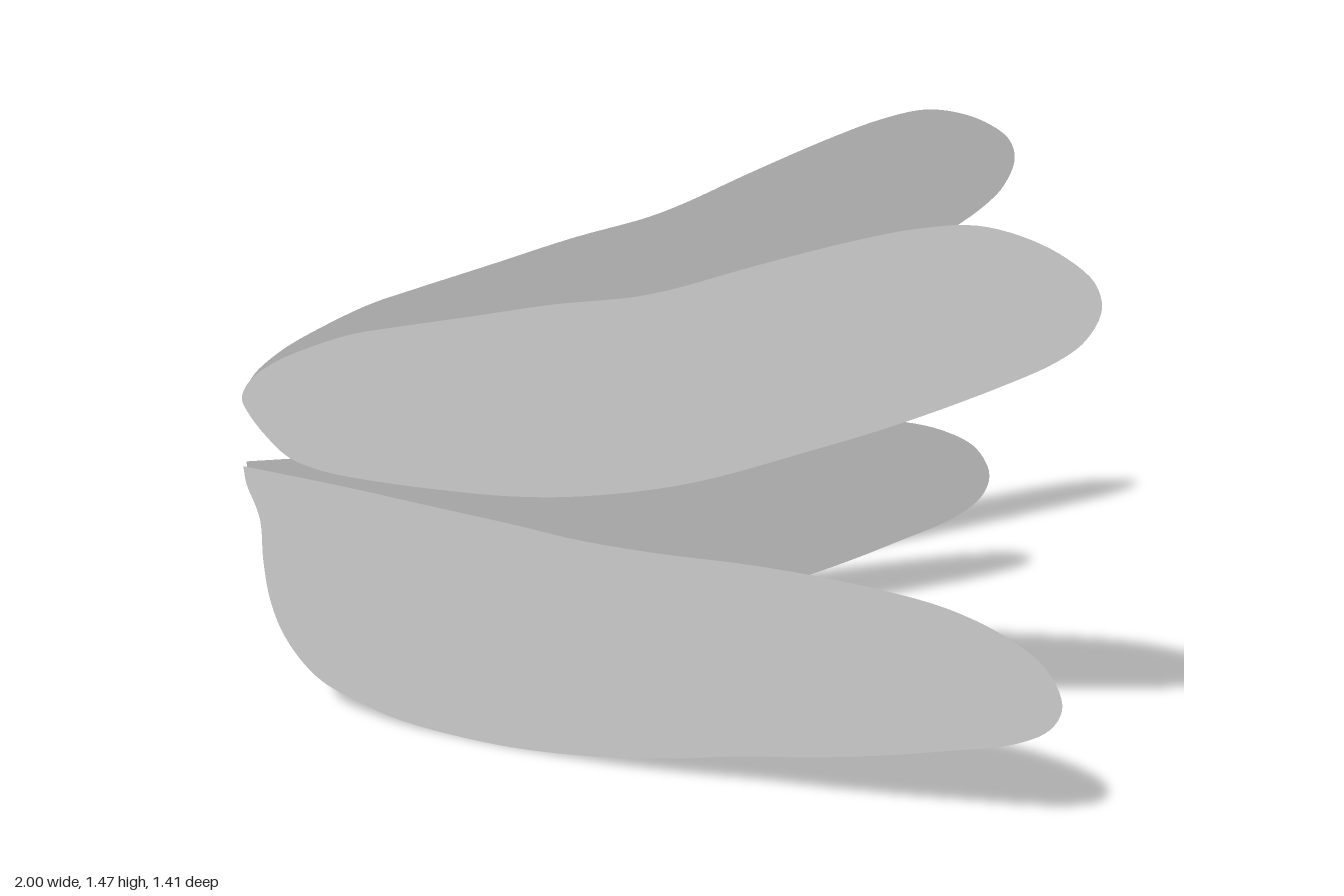
import * as THREE from 'three';

// Outlines as [x, y] points, clockwise from the root
const UPPER = [
  [-0.99, 0.845], [-0.968, 0.893], [-0.898, 0.952], [-0.802, 1.003], [-0.684, 1.053], [-0.588, 1.08],
  [-0.39, 1.131], [-0.176, 1.187], [0.011, 1.226], [0.107, 1.257], [0.278, 1.326], [0.492, 1.406],
  [0.626, 1.447], [0.743, 1.465], [0.85, 1.446], [0.936, 1.406], [0.984, 1.364], [1, 1.31],
  [0.973, 1.24], [0.92, 1.187], [0.813, 1.118], [0.599, 1], [0.385, 0.898], [0.198, 0.813],
  [0.064, 0.765], [-0.123, 0.717], [-0.283, 0.692], [-0.47, 0.68], [-0.684, 0.677], [-0.791, 0.684],
  [-0.872, 0.706], [-0.93, 0.754], [-0.973, 0.807],
];
const LOWER = [
  [-1, 0.663], [-0.738, 0.65], [-0.47, 0.631], [-0.283, 0.618], [-0.123, 0.604], [0.064, 0.602],
  [0.305, 0.61], [0.545, 0.602], [0.733, 0.578], [0.866, 0.529], [0.947, 0.471], [0.989, 0.385],
  [0.968, 0.321], [0.893, 0.267], [0.733, 0.214], [0.599, 0.174], [0.439, 0.134], [0.278, 0.102],
  [0.118, 0.061], [-0.043, 0.029], [-0.203, 0.008], [-0.364, 0], [-0.604, 0.016], [-0.738, 0.053],
  [-0.818, 0.086], [-0.877, 0.139], [-0.925, 0.214], [-0.952, 0.3], [-0.963, 0.406], [-0.963, 0.513],
  [-0.973, 0.556], [-0.995, 0.615],
];

const material = new THREE.MeshStandardMaterial({ color: 0xcccccc, side: THREE.DoubleSide });

// Flat upright wing, swept away from the root in depth
function wing(name, outline, closed, rootZ, tipZ) {
  const pts = outline.map(([x, y]) => new THREE.Vector3(x, y, 0));
  if (!closed) pts.push(pts[0].clone()); // keeps the root corner sharp
  const curve = new THREE.CatmullRomCurve3(pts, closed);
  const edge = curve.getPoints(160).slice(0, -1).map((p) => new THREE.Vector2(p.x, p.y));
  const geometry = new THREE.ShapeGeometry(new THREE.Shape(edge));
  const pos = geometry.attributes.position;
  for (let i = 0; i < pos.count; i++) {
    pos.setZ(i, THREE.MathUtils.lerp(rootZ, tipZ, (pos.getX(i) + 1) / 2));
  }
  geometry.computeVertexNormals();
  const mesh = new THREE.Mesh(geometry, material);
  mesh.name = name;
  return mesh;
}

export function createModel() {
  const model = new THREE.Group();
  model.name = 'wings';
  // Front pair and back pair, with a narrow gap at the roots
  for (const [side, rootZ, tipZ] of [['front', 0.033, 0.704], ['back', 0, -0.702]]) {
    model.add(wing(side + 'UpperWing', UPPER, true, rootZ, tipZ));
    model.add(wing(side + 'LowerWing', LOWER, false, rootZ, tipZ));
  }
  return model;
}
